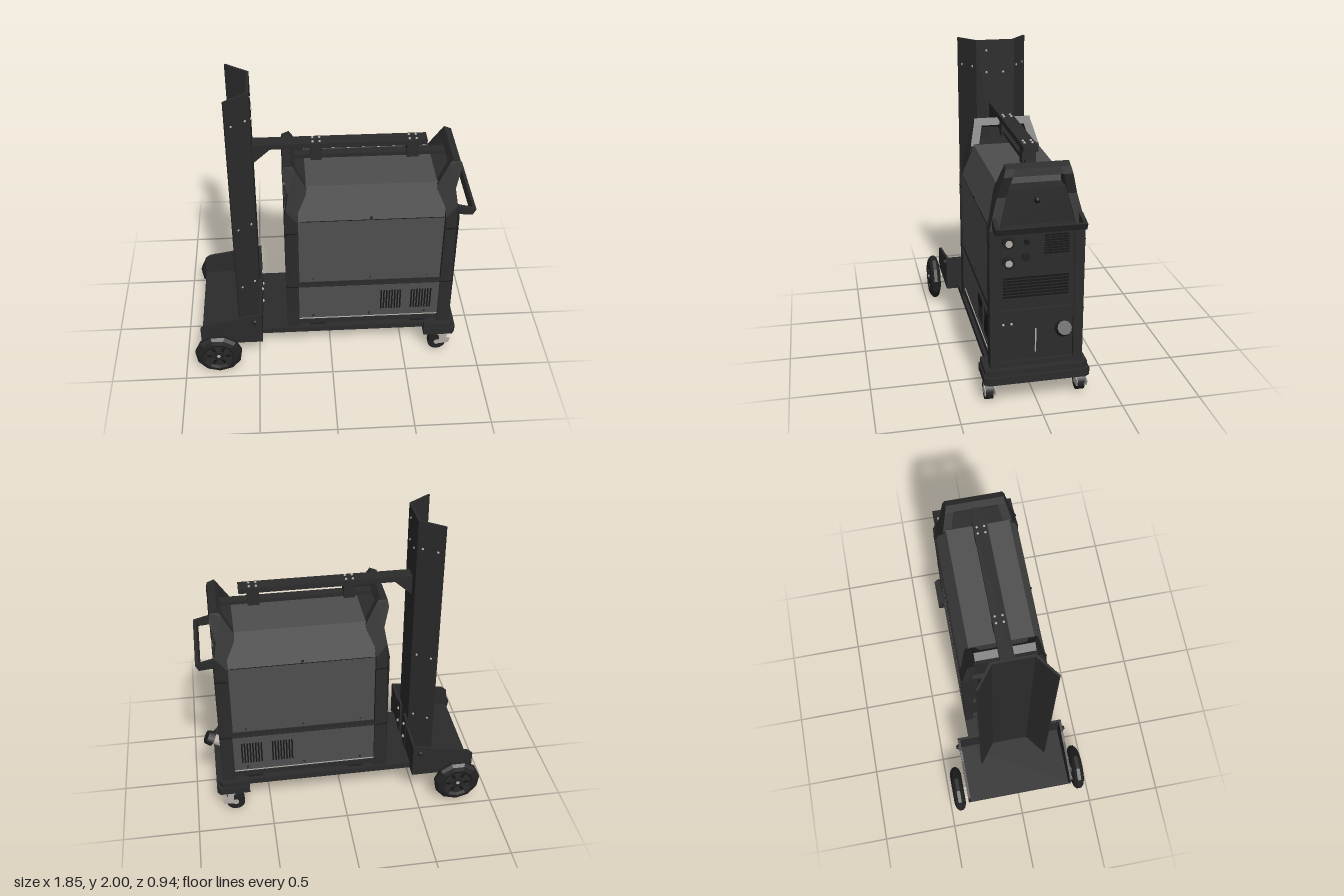
import * as THREE from 'three';

export function createModel() {
  const root = new THREE.Group();
  root.name = 'weldingCart';
  const mat = (name, color) => Object.assign(new THREE.MeshStandardMaterial({ color }), { name });
  const black = mat('blackFrame', 0x2b2b2b);
  const grey = mat('greyPanel', 0x4e4e4e);
  const rubber = mat('rubber', 0x222222);
  const dark = mat('darkSlots', 0x171717);
  const metal = mat('bareMetal', 0xb4aea6);

  let parent = root;
  const add = (name, geo, m, x = 0, y = 0, z = 0) => {
    const mesh = new THREE.Mesh(geo, m);
    mesh.name = name;
    mesh.position.set(x, y, z);
    parent.add(mesh);
    return mesh;
  };
  const group = (name) => {
    parent = new THREE.Group();
    parent.name = name;
    root.add(parent);
    return parent;
  };
  const box = (name, m, x0, x1, y0, y1, z0, z1) =>
    add(name, new THREE.BoxGeometry(x1 - x0, y1 - y0, z1 - z0), m, (x0 + x1) / 2, (y0 + y1) / 2, (z0 + z1) / 2);
  const flat = (geo) => {
    const g = geo.index ? geo.toNonIndexed() : geo;
    g.computeVertexNormals();
    return g;
  };
  const extrude = (pts, depth) =>
    new THREE.ExtrudeGeometry(new THREE.Shape(pts.map(p => new THREE.Vector2(...p))), { depth, bevelEnabled: false });
  // profile in x,y pushed along z
  const prismZ = (name, m, pts, z0, z1) => add(name, extrude(pts, z1 - z0), m, 0, 0, z0);
  // symmetric profile in z,y pushed along x
  const prismX = (name, m, pts, x0, x1) => add(name, extrude(pts, x1 - x0).rotateY(Math.PI / 2), m, x0);
  // symmetric plan in x,z pushed up
  const prismY = (name, m, pts, y0, y1) => add(name, extrude(pts, y1 - y0).rotateX(-Math.PI / 2), m, 0, y0);
  const mirrorPts = (half) => [...half, ...half.map(([a, b]) => [-a, b]).reverse()];
  const mirrorPlan = (half) => [...half, ...half.map(([a, b]) => [a, -b]).reverse()];
  const cyl = (name, m, r, len, axis, x, y, z, seg = 12, r2 = r) => {
    const g = new THREE.CylinderGeometry(r2, r, len, seg);
    if (axis === 'x') g.rotateZ(-Math.PI / 2);
    if (axis === 'z') g.rotateX(Math.PI / 2);
    return add(name, g, m, x, y, z);
  };
  const bolt = (x, y, z, r = 0.009, m = metal) => add('bolt', new THREE.SphereGeometry(r, 6, 4), m, x, y, z);
  const sides = [1, -1];

  // Rear bottle column: bent sheet, open to the back
  group('bottleColumn');
  prismY('columnSheet', black, mirrorPlan([
    [-0.48, 0.13], [-0.625, 0.235], [-0.632, 0.225], [-0.495, 0.122],
  ]), 0.19, 2);
  for (const y of [0.55, 1.04, 1.82]) for (const s of sides) for (const t of [0.2, 0.75]) {
    bolt(-0.48 - 0.15 * t, y, s * (0.13 + 0.105 * t));
  }
  for (const [y, z] of [[1.93, 0.06], [1.78, 0.06], [1.78, -0.055]]) bolt(-0.48, y, z);

  // Rear bottle tray with side walls
  group('bottleTray');
  box('trayFloor', black, -0.885, -0.47, 0.19, 0.21, -0.37, 0.37);
  for (const s of sides) {
    const z = s * 0.362;
    prismZ('traySide', black, [
      [-0.885, 0.19], [-0.47, 0.19], [-0.47, 0.43], [-0.56, 0.42], [-0.63, 0.4], [-0.85, 0.36], [-0.885, 0.33],
    ], z - 0.008, z + 0.008);
    box('trayFront', black, -0.485, -0.47, 0.19, 0.43, s > 0 ? 0.12 : -0.37, s > 0 ? 0.37 : -0.12);
    box('columnClamp', black, -0.485, -0.465, 0.2, 0.48, s * 0.09 - 0.04, s * 0.09 + 0.04);
    for (const y of [0.31, 0.42]) bolt(-0.463, y, s * 0.09, 0.012);
    bolt(-0.52, 0.38, s * 0.372, 0.02, rubber);
  }

  // Large rear wheels on an axle
  group('rearWheels');
  cyl('axle', metal, 0.016, 0.86, 'z', -0.77, 0.165, 0);
  const tyre = [[0.09, -0.03], [0.11, -0.04], [0.14, -0.03], [0.158, -0.012], [0.158, 0.012],
    [0.14, 0.03], [0.11, 0.04], [0.09, 0.03]].map(p => new THREE.Vector2(...p));
  for (const s of sides) {
    add('tyre', flat(new THREE.LatheGeometry(tyre, 11).rotateX(Math.PI / 2)), rubber, -0.77, 0.16, s * 0.43);
    cyl('rim', black, 0.095, 0.054, 'z', -0.77, 0.16, s * 0.43, 11);
    cyl('hub', rubber, 0.035, 0.074, 'z', -0.77, 0.16, s * 0.43);
    for (let i = 0; i < 6; i++) {
      const spoke = add('rimSlot', new THREE.BoxGeometry(0.035, 0.02, 0.006), dark, -0.77, 0.16, s * 0.458);
      spoke.rotation.z = i * Math.PI / 3;
      spoke.translateX(0.062);
    }
    cyl('axleCap', metal, 0.013, 0.08, 'z', -0.77, 0.165, s * 0.43, 8);
  }

  // Base deck and front bumper
  group('base');
  box('deck', black, -0.47, 0.66, 0.19, 0.23, -0.29, 0.29);
  prismY('bumper', black, mirrorPlan([[0.64, 0.33], [0.84, 0.33], [0.86, 0.3]]), 0.15, 0.2);
  prismY('bumperTop', black, mirrorPlan([[0.64, 0.32], [0.82, 0.32], [0.84, 0.28]]), 0.2, 0.235);

  // Swivelling front casters
  group('casters');
  for (const s of sides) {
    const z = s * 0.29;
    cyl('casterWheel', rubber, 0.062, 0.05, 'z', 0.74, 0.062, z, 14);
    cyl('casterHub', metal, 0.02, 0.058, 'z', 0.74, 0.062, z, 10);
    cyl('swivel', metal, 0.035, 0.025, 'y', 0.77, 0.138, z);
    for (const e of sides) prismZ('fork', metal, [
      [0.725, 0.05], [0.76, 0.055], [0.82, 0.06], [0.83, 0.1], [0.8, 0.11], [0.79, 0.135], [0.75, 0.135], [0.755, 0.09],
    ], z + e * 0.031 - 0.003, z + e * 0.031 + 0.003);
  }

  // Lower cooling unit
  group('coolerUnit');
  box('coolerBody', grey, -0.22, 0.735, 0.3, 0.58, -0.272, 0.272);
  box('coolerSill', black, -0.24, 0.75, 0.262, 0.298, -0.28, 0.28);
  box('coolerTop', black, -0.24, 0.75, 0.575, 0.59, -0.27, 0.27);
  for (const s of sides) {
    box('sillTrim', metal, -0.22, 0.73, 0.299, 0.304, s * 0.274 - 0.003, s * 0.274 + 0.003);
    for (const x0 of [0.335, 0.54]) for (let i = 0; i < 8; i++) {
      const x = x0 + i * 0.0185;
      box('ventSlot', dark, x, x + 0.01, 0.365, 0.53, s * 0.273 - 0.002, s * 0.273 + 0.002);
    }
    for (const x of [-0.12, 0.26, 0.64]) for (const y of [0.33, 0.66]) bolt(x, y, s * 0.274, 0.008, dark);
  }
  for (const y of [0.23, 0.582]) for (const x of [-0.09, 0.6]) for (const s of sides) {
    prismZ('foot', rubber, [[x - 0.045, y], [x + 0.045, y], [x + 0.08, y + 0.035], [x - 0.08, y + 0.035]],
      s * 0.22 - 0.045, s * 0.22 + 0.045);
  }

  // Upper power source shell
  group('powerSource');
  box('shellSill', black, -0.24, 0.75, 0.605, 0.635, -0.282, 0.282);
  prismX('shell', grey, mirrorPts([[0.278, 0.63], [0.278, 1.14], [0.21, 1.37]]), -0.21, 0.725);
  for (const s of sides) {
    box('shellSeam', dark, -0.2, 0.72, 1.138, 1.142, s * 0.277 - 0.002, s * 0.277 + 0.002);
    bolt(0.255, 1.155, s * 0.276, 0.01, dark);
  }

  // End frames with carrying handles; the rear one is the front one turned round
  const lean = (y) => y < 1.14 ? 0 : y < 1.45 ? (1.14 - y) * 0.26 : -0.08 - (y - 1.45) * 0.3;
  const postPts = [[0.473, 0.24], [0.558, 0.24], [0.558, 1.14], [0.545, 1.22], [0.527, 1.33], [0.56, 1.46], [0.552, 1.505],
    [0.505, 1.525], [0.478, 1.48], [0.41, 1.36], [0.415, 1.32], [0.465, 1.21], [0.473, 1.14]];
  const endFrame = (name, turn) => {
    const g = group(name);
    g.position.x = 0.258;
    g.rotation.y = turn;
    for (const s of sides) {
      const geo = extrude(postPts, 0.055).translate(0, 0, s > 0 ? 0.232 : -0.287);
      const p = geo.attributes.position;
      for (let i = 0; i < p.count; i++) p.setZ(i, p.getZ(i) + s * lean(p.getY(i)));
      add('post', flat(geo), black);
      for (const y of [0.6, 1.05]) box('postSeam', dark, 0.475, 0.56, y - 0.003, y + 0.003, s * 0.286 - 0.003, s * 0.286 + 0.003);
    }
    prismZ('handleBar', black, [[0.495, 1.465], [0.558, 1.46], [0.552, 1.505], [0.505, 1.525], [0.478, 1.48]], -0.19, 0.19);
    box('topBridge', black, 0.412, 0.52, 1.3, 1.372, -0.2, 0.2);
    prismX('endPanel', black, mirrorPts([[0.24, 0.25], [0.24, 1.14], [0.18, 1.35]]), 0.43, 0.522);
    box('panelBrow', black, 0.5, 0.55, 1.13, 1.155, -0.25, 0.25);
    box('middleBand', black, 0.5, 0.548, 0.575, 0.615, -0.25, 0.25);
    box('bottomBand', black, 0.5, 0.548, 0.24, 0.27, -0.25, 0.25);
    bolt(0.524, 1.3, 0, 0.02, dark);
  };
  const slats = (z0, z1, y0, y1, n) => {
    for (let i = 0; i < n; i++) {
      const y = y0 + (y1 - y0) * i / n;
      box('grilleSlot', dark, 0.521, 0.526, y, y + (y1 - y0) / n * 0.6, z0, z1);
    }
  };

  // Front face: sockets, grilles, level window, guard and filler cap
  endFrame('frontEnd', 0);
  slats(-0.2, -0.05, 0.96, 1.09, 8);
  slats(-0.2, 0.2, 0.69, 0.83, 7);
  for (const y of [1.05, 0.925]) {
    cyl('socketRing', rubber, 0.038, 0.03, 'x', 0.535, y, 0.17, 14);
    cyl('socketCore', metal, 0.022, 0.034, 'x', 0.537, y, 0.17, 10);
  }
  cyl('smallSocket', rubber, 0.025, 0.03, 'x', 0.535, 0.955, 0.065);
  cyl('smallSocket', dark, 0.016, 0.016, 'x', 0.528, 1.045, 0.06);
  box('levelWindow', metal, 0.521, 0.527, 0.315, 0.475, -0.004, 0.004);
  for (const z of [0.15, 0.2]) bolt(0.524, 0.515, z);
  for (const s of sides) prismZ('guardArm', black, [[0.53, 1.155], [0.645, 1.145], [0.665, 1.185], [0.55, 1.215]],
    s * 0.258 - 0.012, s * 0.258 + 0.012);
  prismZ('guardBar', black, [[0.632, 1.147], [0.645, 1.145], [0.665, 1.187], [0.645, 1.19]], -0.26, 0.26);
  const neck = cyl('fillerNeck', metal, 0.035, 0.075, 'x', 0.575, 0.485, -0.15, 12);
  const cap = cyl('fillerCap', rubber, 0.052, 0.045, 'x', 0.622, 0.51, -0.15, 12, 0.044);
  neck.rotation.z = cap.rotation.z = 0.5;

  // Rear face: connectors and fan grille
  endFrame('rearEnd', Math.PI);
  slats(-0.17, 0.17, 0.68, 0.86, 8);
  for (const [y, z, r] of [[1.06, 0.14, 0.035], [0.94, 0.14, 0.03], [1.06, -0.12, 0.03], [0.45, 0.1, 0.028], [0.45, -0.1, 0.028]]) {
    cyl('rearConnector', rubber, r, 0.035, 'x', 0.535, y, z);
  }
  cyl('rearPlug', metal, 0.018, 0.03, 'x', 0.535, 1.22, 0.05, 10);

  // Boom clamped from the column onto the handle tie bar
  group('boom');
  box('tieBar', black, -0.25, 0.76, 1.458, 1.484, -0.03, 0.03);
  box('boomBeam', black, -0.48, 0.62, 1.54, 1.575, -0.045, 0.045);
  prismZ('boomGusset', black, [[-0.48, 1.44], [-0.37, 1.54], [-0.48, 1.54]], -0.045, 0.045);
  for (const x of [-0.08, 0.53]) {
    box('clamp', black, x - 0.037, x + 0.037, 1.45, 1.545, -0.042, 0.042);
    for (const dx of sides) for (const s of sides) bolt(x + dx * 0.022, 1.577, s * 0.024);
  }
  return root;
}
